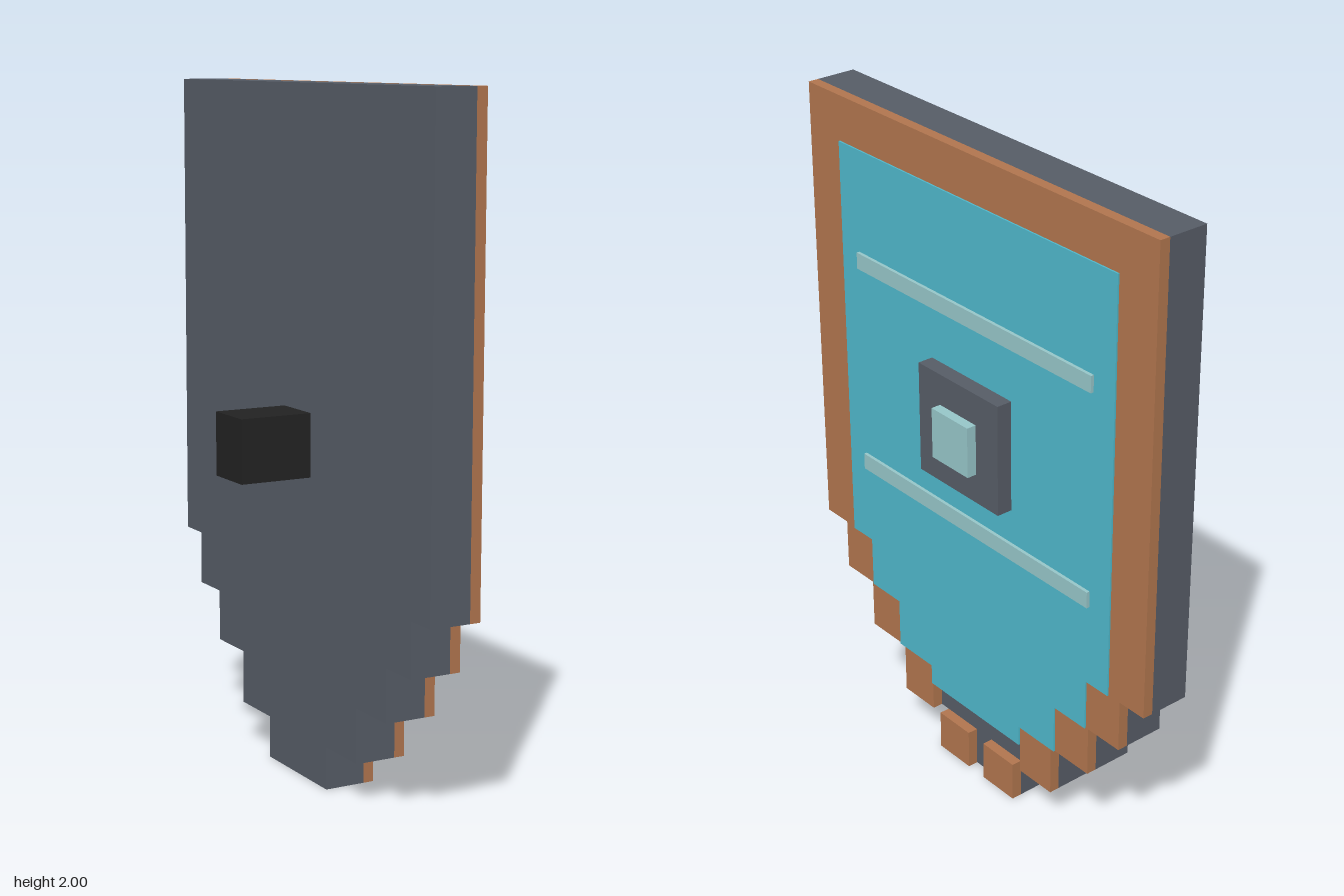
import * as THREE from 'three';

const mat = (name, color) => {
  const m = new THREE.MeshStandardMaterial({ color });
  m.name = name;
  return m;
};

export function createModel() {
  const slate = mat('slate', 0x565c66);
  const copper = mat('copper', 0xb0754e);
  const teal = mat('teal', 0x4fb7ca);
  const pale = mat('paleTeal', 0x96c5c8);
  const black = mat('black', 0x222222);

  const shield = new THREE.Group();
  shield.name = 'shield';

  // Box given by its limits on each axis
  const box = (name, material, [x0, x1], [y0, y1], [z0, z1], parent = shield) => {
    const mesh = new THREE.Mesh(new THREE.BoxGeometry(x1 - x0, y1 - y0, z1 - z0), material);
    mesh.position.set((x0 + x1) / 2, (y0 + y1) / 2, (z0 + z1) / 2);
    mesh.name = name;
    parent.add(mesh);
  };

  // Symmetric stepped plate facing +x; tiers are [bottom, top, halfWidth], top tier first
  const steppedPlate = (name, material, tiers, x0, x1) => {
    const side = tiers.flatMap(([b, t, w]) => [[w, t], [w, b]]);
    const outline = [...side, ...side.map(([w, y]) => [-w, y]).reverse()];
    const shape = new THREE.Shape(outline.map(([w, y]) => new THREE.Vector2(w, y)));
    const geo = new THREE.ExtrudeGeometry(shape, { depth: x1 - x0, bevelEnabled: false });
    geo.rotateY(Math.PI / 2).translate(x0, 0, 0);
    const mesh = new THREE.Mesh(geo, material);
    mesh.name = name;
    shield.add(mesh);
  };

  // Stepped tiers: bottom, top, outer half width, inner edge of the rim
  const tiers = [
    [0.6, 2, 0.72, 0.58],
    [0.44, 0.6, 0.625, 0.49],
    [0.285, 0.44, 0.5, 0.36],
    [0.125, 0.285, 0.342, 0.205],
    [0, 0.125, 0.172, 0.035],
  ];

  // Backing slab
  steppedPlate('backing', slate, tiers, -0.01, 0.113);

  // Copper rim: top bar and mirrored side blocks
  const rim = new THREE.Group();
  rim.name = 'rim';
  shield.add(rim);
  const rimX = [0.113, 0.145];
  box('rimTop', copper, rimX, [1.865, 2], [-0.72, 0.72], rim);
  tiers.forEach(([b, t, outer, inner], i) => {
    const y = [b, i === 0 ? 1.865 : t];
    box('rimLeft', copper, rimX, y, [-outer, -inner], rim);
    box('rimRight', copper, rimX, y, [inner, outer], rim);
  });

  // Teal face panel, stopping above the tip
  const panelTiers = tiers.slice(0, 4).map(([b, t, , inner]) => [b, t, inner]);
  panelTiers[0][1] = 1.865;
  panelTiers[3][0] = 0.22;
  steppedPlate('facePanel', teal, panelTiers, 0.113, 0.15);

  // Horizontal stripes
  for (const y of [0.85, 1.505]) {
    box('stripe', pale, [0.15, 0.16], [y, y + 0.05], [-0.5, 0.5]);
  }

  // Central boss and gem
  box('boss', slate, [0.15, 0.198], [1.005, 1.345], [-0.172, 0.172]);
  box('gem', pale, [0.198, 0.228], [1.095, 1.25], [-0.078, 0.078]);

  // Rear handle
  box('handle', black, [-0.23, -0.01], [0.895, 1.08], [-0.078, 0.078]);

  return shield;
}
